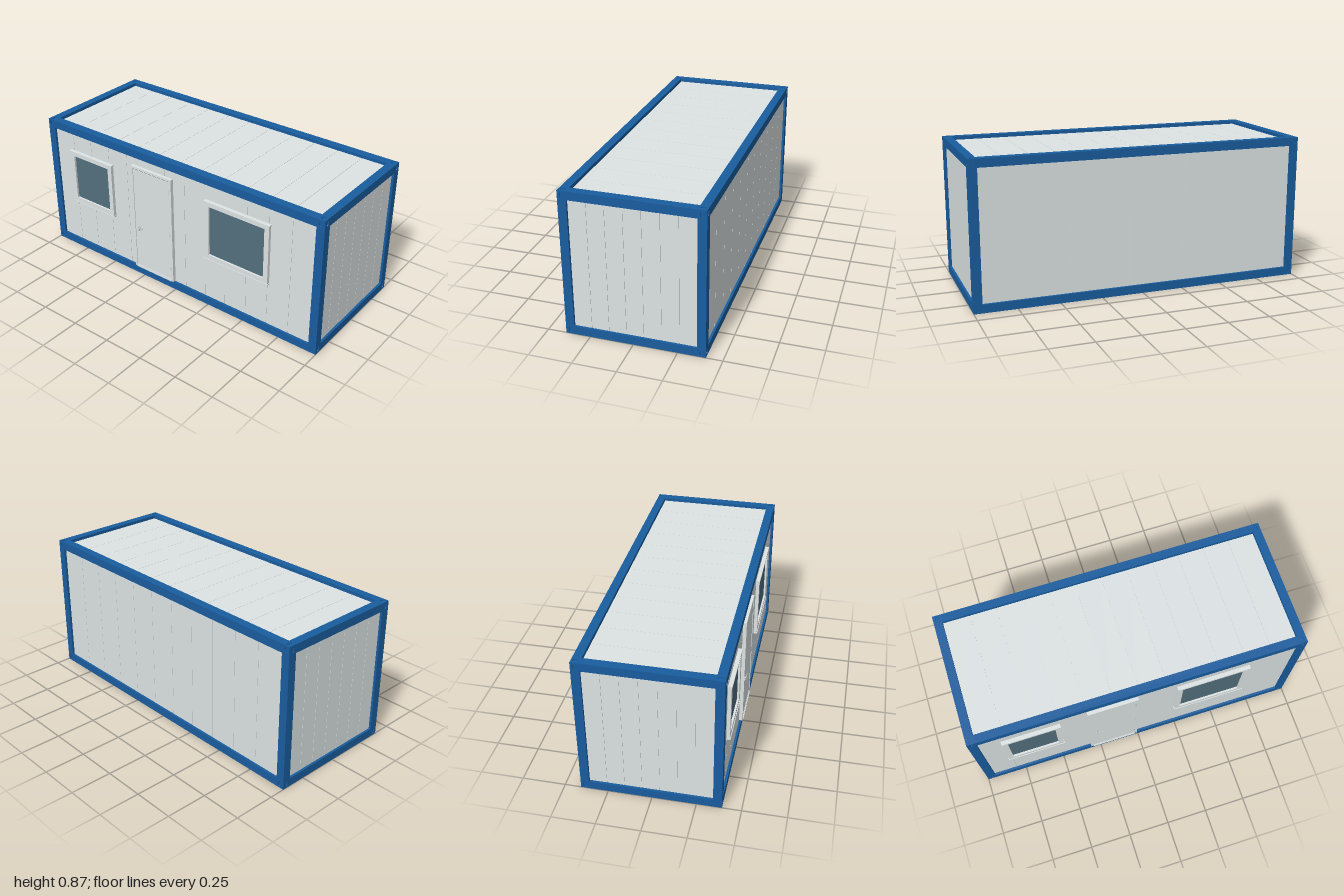
import * as THREE from 'three';

const mat = (name, color) => {
  const m = new THREE.MeshStandardMaterial({ color });
  m.name = name;
  return m;
};

export function createModel() {
  const blue = mat('frame blue', 0x195d9f);
  const grey = mat('panel grey', 0xdde3e4);
  const glass = mat('window glass', 0x536f7d);
  const brown = mat('floor brown', 0x876048);
  const teal = mat('beam teal', 0x34586a);
  const steel = mat('steel', 0xc2c7c9);
  const dark = mat('seal dark', 0x2c3032);

  const model = new THREE.Group();
  model.name = 'siteCabin';

  const group = (name, parent = model) => {
    const g = new THREE.Group();
    g.name = name;
    parent.add(g);
    return g;
  };
  const add = (parent, name, geo, material, x, y, z) => {
    const m = new THREE.Mesh(geo, material);
    m.name = name;
    m.position.set(x, y, z);
    parent.add(m);
    return m;
  };
  // Box given by its two extreme corners
  const box = (parent, name, material, x0, x1, y0, y1, z0, z1) =>
    add(parent, name, new THREE.BoxGeometry(x1 - x0, y1 - y0, z1 - z0), material,
      (x0 + x1) / 2, (y0 + y1) / 2, (z0 + z1) / 2);

  const H = 0.865, B = 0.05, ZF = 0.392, ZB = -0.407;
  const zMid = (ZF + ZB) / 2, zHalf = (ZF - ZB) / 2;

  // Corner plate with an oval lashing hole
  const plateT = 0.006;
  const plateShape = new THREE.Shape();
  plateShape.moveTo(-B / 2, -B / 2).lineTo(B / 2, -B / 2).lineTo(B / 2, B / 2).lineTo(-B / 2, B / 2).closePath();
  const oval = new THREE.Path();
  oval.absarc(0, 0.0075, 0.009, 0, Math.PI, false);
  oval.absarc(0, -0.0075, 0.009, Math.PI, Math.PI * 2, false);
  oval.closePath();
  plateShape.holes.push(oval);
  const plateZ = new THREE.ExtrudeGeometry(plateShape, { depth: plateT, bevelEnabled: false, curveSegments: 8 });
  plateZ.translate(0, 0, -plateT / 2);
  const plateX = plateZ.clone().rotateY(Math.PI / 2);
  const plateY = plateZ.clone().rotateX(Math.PI / 2);

  // Steel frame: corner castings, posts and rails
  const frame = group('frame');
  const off = B / 2 - plateT / 2;
  for (const sx of [-1, 1]) {
    for (const sz of [-1, 1]) {
      const cx = sx * (1 - B / 2), cz = zMid + sz * (zHalf - B / 2);
      box(frame, 'cornerPost', blue, cx - B / 2, cx + B / 2, B, H - B, cz - B / 2, cz + B / 2);
      for (const sy of [-1, 1]) {
        const cy = H / 2 + sy * (H / 2 - B / 2);
        const c = group('cornerCasting', frame);
        c.position.set(cx, cy, cz);
        const core = B - plateT;
        add(c, 'castingCore', new THREE.BoxGeometry(core, core, core), blue,
          -sx * plateT / 2, -sy * plateT / 2, -sz * plateT / 2);
        add(c, 'endPlate', plateX, blue, sx * off, 0, 0);
        add(c, 'topPlate', plateY, blue, 0, sy * off, 0);
        add(c, 'sidePlate', plateZ, blue, 0, 0, sz * off);
      }
    }
  }
  for (const y of [0, H - B]) {
    for (const z of [ZB, ZF - B]) box(frame, 'longRail', blue, -1 + B, 1 - B, y, y + B, z, z + B);
    for (const x of [-1, 1 - B]) box(frame, 'endRail', blue, x, x + B, y, y + B, ZB + B, ZF - B);
  }

  // Wall of panels with hairline seams; built facing +z, then turned into place
  const panelWall = (name, length, height, count) => {
    const g = group(name);
    const w = length / count, gap = 0.0016;
    box(g, 'wallBacking', grey, -length / 2, length / 2, -height / 2, height / 2, -0.025, -0.004);
    for (let i = 0; i < count; i++) {
      const x0 = -length / 2 + i * w + (i > 0 ? gap / 2 : 0);
      const x1 = -length / 2 + (i + 1) * w - (i < count - 1 ? gap / 2 : 0);
      box(g, 'wallPanel', grey, x0, x1, -height / 2, height / 2, -0.006, 0);
    }
    return g;
  };
  const L = 2 - 2 * B, W = 2 * zHalf - 2 * B, wallH = H - 2 * B;
  const recess = 0.014;
  const wallZ = ZF - recess;
  panelWall('frontWall', L, wallH, 13).position.set(0, H / 2, wallZ);
  const back = panelWall('backWall', L, wallH, 11);
  back.position.set(0, H / 2, ZB + recess);
  back.rotation.y = Math.PI;
  for (const s of [-1, 1]) {
    const end = panelWall(s > 0 ? 'leftWall' : 'rightWall', W, wallH, 7);
    end.position.set(s * (1 - recess), H / 2, zMid);
    end.rotation.y = s * Math.PI / 2;
  }
  const roof = panelWall('roof', L, W, 12);
  roof.position.set(0, H - 0.02, zMid);
  roof.rotation.x = -Math.PI / 2;

  // Floor deck with cross beams below
  const floor = group('floor');
  box(floor, 'floorDeck', brown, -1 + B, 1 - B, 0.03, 0.05, ZB + B, ZF - B);
  for (let i = -3; i <= 3; i++) {
    box(floor, 'crossBeam', teal, i * 0.25 - 0.013, i * 0.25 + 0.013, 0.008, 0.03, ZB + B, ZF - B);
  }
  box(floor, 'endBeam', teal, -0.925, -0.905, 0.008, 0.03, ZB + B, ZF - B);

  // Rectangular surround made of four bars
  const surround = (parent, name, x0, x1, y0, y1, t, z0, z1) => {
    box(parent, name, grey, x0, x0 + t, y0, y1, z0, z1);
    box(parent, name, grey, x1 - t, x1, y0, y1, z0, z1);
    box(parent, name, grey, x0 + t, x1 - t, y0, y0 + t, z0, z1);
    box(parent, name, grey, x0 + t, x1 - t, y1 - t, y1, z0, z1);
  };

  // Windows
  const windowUnit = (name, x0, x1, y0, y1) => {
    const g = group(name);
    surround(g, 'windowTrim', x0 + 0.004, x1 - 0.004, y0 + 0.006, y1 - 0.001, 0.03, wallZ, 0.398);
    box(g, 'windowPane', glass, x0 + 0.03, x1 - 0.03, y0 + 0.03, y1 - 0.028, wallZ, wallZ + 0.008);
    box(g, 'windowSill', grey, x0, x1, y0, y0 + 0.008, wallZ, 0.402);
    box(g, 'windowHead', grey, x0, x1, y1 - 0.007, y1, wallZ, 0.402);
  };
  windowUnit('smallWindow', -0.826, -0.476, 0.34, 0.7);
  windowUnit('largeWindow', 0.227, 0.673, 0.327, 0.715);

  // Door
  const door = group('door');
  surround(door, 'doorTrim', -0.315, -0.01, 0.053, 0.76, 0.014, wallZ, 0.399);
  box(door, 'doorThreshold', grey, -0.3, -0.025, 0.053, 0.06, wallZ, 0.403);
  box(door, 'doorLeaf', grey, -0.3, -0.025, 0.068, 0.741, wallZ, 0.396);
  box(door, 'doorSeal', dark, -0.3, -0.025, 0.741, 0.746, wallZ, 0.394);
  for (const y of [0.14, 0.385, 0.672]) {
    add(door, 'doorHinge', new THREE.CylinderGeometry(0.004, 0.004, 0.028, 10), steel, -0.027, y, 0.395);
  }
  const rose = new THREE.CylinderGeometry(0.007, 0.007, 0.004, 16).rotateX(Math.PI / 2);
  add(door, 'handleRose', rose, steel, -0.272, 0.348, 0.398);
  add(door, 'lockRose', rose, steel, -0.272, 0.328, 0.398);
  add(door, 'lockSlot', new THREE.BoxGeometry(0.003, 0.008, 0.002), dark, -0.272, 0.328, 0.4005);
  box(door, 'handleNeck', steel, -0.276, -0.268, 0.345, 0.352, 0.398, 0.407);
  box(door, 'handleLever', steel, -0.276, -0.238, 0.345, 0.352, 0.402, 0.407);

  return model;
}
